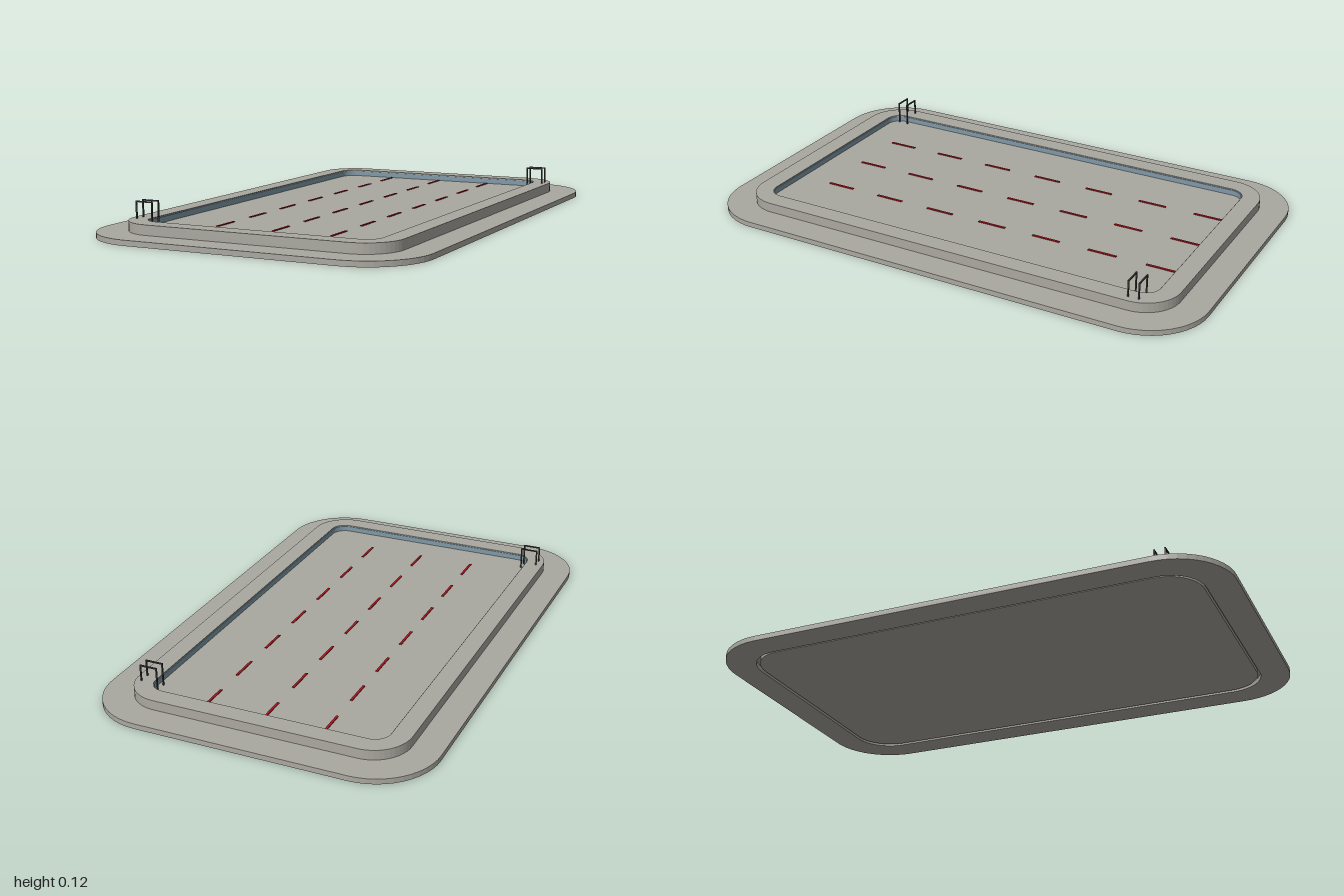
import * as THREE from 'three';

const mat = (name, color) => new THREE.MeshStandardMaterial({ name, color, flatShading: true });

// Rounded rectangle given half width, half length and corner radius
function outline(w, l, r, Type = THREE.Shape) {
  const s = new Type();
  s.moveTo(-w + r, -l);
  s.lineTo(w - r, -l);
  s.absarc(w - r, -l + r, r, -Math.PI / 2, 0, false);
  s.lineTo(w, l - r);
  s.absarc(w - r, l - r, r, 0, Math.PI / 2, false);
  s.lineTo(-w + r, l);
  s.absarc(-w + r, l - r, r, Math.PI / 2, Math.PI, false);
  s.lineTo(-w, -l + r);
  s.absarc(-w + r, -l + r, r, Math.PI, Math.PI * 1.5, false);
  return s;
}

export function createModel() {
  const model = new THREE.Group();
  const stone = mat('stone', 0xaaa8a0);
  const liner = mat('blue liner', 0x7f98a6);
  const red = mat('lane red', 0xa8141c);
  const metal = mat('dark metal', 0x3c3c3e);

  // Horizontal slab between two heights, with an optional rounded hole
  function slab(name, material, y0, y1, outer, inner) {
    const shape = outline(...outer);
    if (inner) shape.holes.push(outline(...inner, THREE.Path));
    const g = new THREE.ExtrudeGeometry(shape, { depth: y1 - y0, bevelEnabled: false, curveSegments: 6 });
    g.rotateX(-Math.PI / 2).translate(0, y0, 0);
    const mesh = new THREE.Mesh(g, material);
    mesh.name = name;
    model.add(mesh);
  }

  function box(parent, name, material, size, pos) {
    const mesh = new THREE.Mesh(new THREE.BoxGeometry(...size), material);
    mesh.position.set(...pos);
    mesh.name = name;
    parent.add(mesh);
  }

  // Deck, raised coping, basin floor and its lining
  slab('deck', stone, 0, 0.02, [0.635, 1, 0.235], [0.525, 0.89, 0.14]);
  slab('coping', stone, 0.018, 0.057, [0.527, 0.892, 0.14], [0.455, 0.82, 0.06]);
  slab('basinFloor', stone, 0.003, 0.032, [0.515, 0.88, 0.14]);
  slab('basinLining', liner, 0.031, 0.053, [0.456, 0.821, 0.061], [0.452, 0.817, 0.057]);

  // Dashed lane lines on the floor
  for (const x of [-0.227, 0, 0.227]) {
    for (let i = 0; i < 7; i++) {
      box(model, 'laneDash', red, [0.009, 0.003, 0.113], [x, 0.0335, -0.75 + i * 0.23]);
    }
  }

  // Two ladders at opposite corners, each a pair of square hoops
  for (const side of [1, -1]) {
    const ladder = new THREE.Group();
    ladder.name = 'ladder';
    for (const z of [-0.784, -0.744]) {
      box(ladder, 'topRail', metal, [0.07, 0.005, 0.005], [0.467, 0.118, z]);
      box(ladder, 'outerPost', metal, [0.005, 0.064, 0.005], [0.4995, 0.088, z]);
      box(ladder, 'innerPost', metal, [0.005, 0.088, 0.005], [0.4345, 0.076, z]);
    }
    ladder.rotation.y = side > 0 ? 0 : Math.PI;
    model.add(ladder);
  }
  return model;
}
